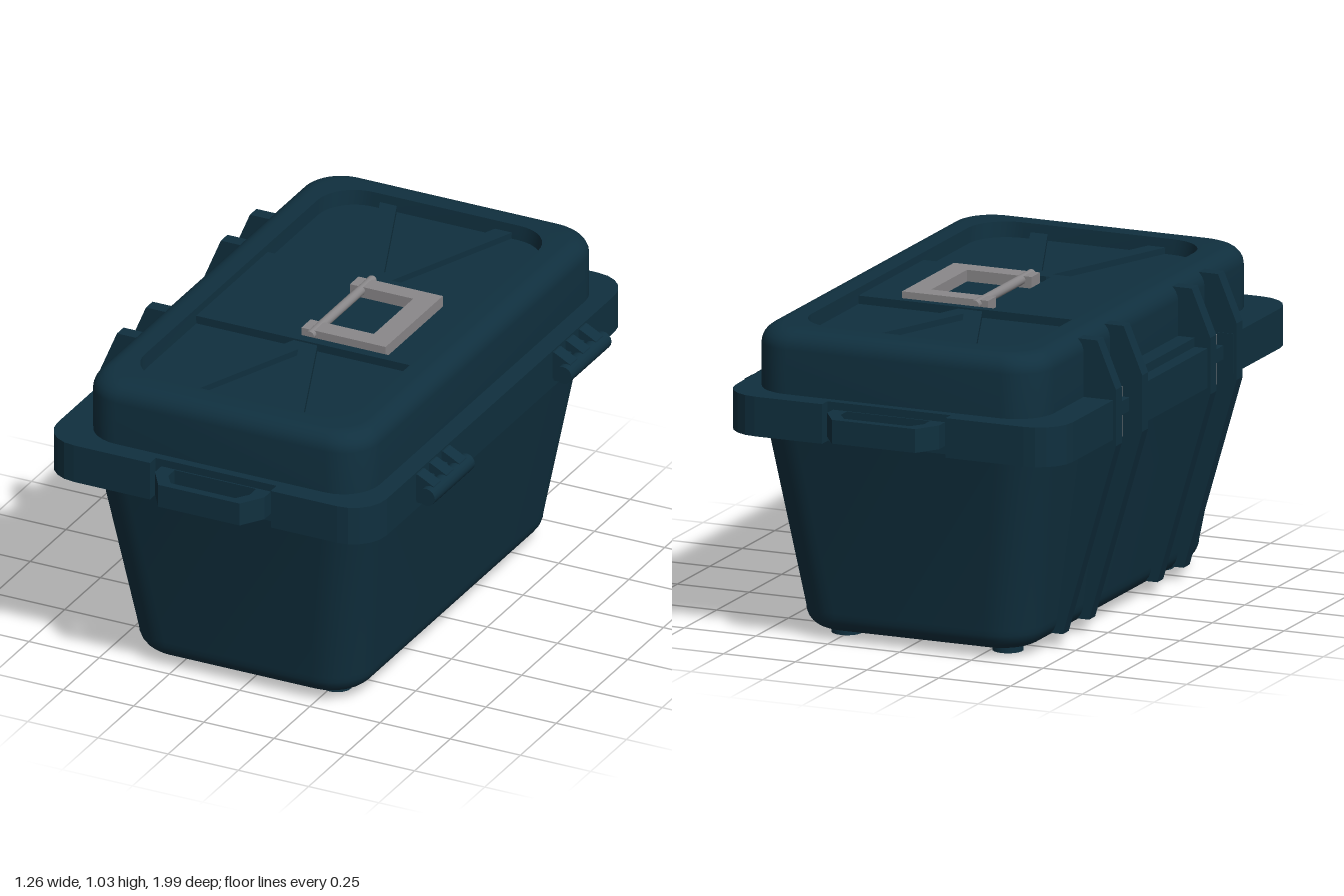
import * as THREE from 'three';
import { toCreasedNormals } from 'three/addons/utils/BufferGeometryUtils.js';

const CX = -0.02; // centre line of the box in x

export function createModel() {
  const shell = new THREE.MeshStandardMaterial({ color: 0x10303f });
  shell.name = 'dark teal plastic';
  const metal = new THREE.MeshStandardMaterial({ color: 0x8a888a });
  metal.name = 'grey metal';
  const model = new THREE.Group();
  model.name = 'toolBox';

  const add = (name, geo, mat = shell, x = 0, y = 0, z = 0) => {
    const m = new THREE.Mesh(geo, mat);
    m.name = name;
    m.position.set(x, y, z);
    model.add(m);
    return m;
  };
  // Box given by its limits on each axis
  const box = (name, x0, x1, y0, y1, z0, z1, mat = shell) =>
    add(name, new THREE.BoxGeometry(x1 - x0, y1 - y0, z1 - z0), mat,
      (x0 + x1) / 2, (y0 + y1) / 2, (z0 + z1) / 2);
  // Plan outline (x, z), extruded from y0 to y1
  const plan = (name, pts, y0, y1, mat = shell, hole) => {
    const shape = new THREE.Shape(pts.map(([x, z]) => new THREE.Vector2(x, -z)));
    if (hole) shape.holes.push(new THREE.Path(hole.map(([x, z]) => new THREE.Vector2(x, -z))));
    const geo = new THREE.ExtrudeGeometry(shape, { depth: y1 - y0, bevelEnabled: false });
    geo.rotateX(-Math.PI / 2);
    return add(name, geo, mat, 0, y0, 0);
  };
  const rect = (x0, x1, z0, z1) => [[x0, z0], [x1, z0], [x1, z1], [x0, z1]];

  // Lofts rounded rectangles; each ring is [half x, half z, corner radius, y]
  const loft = (rings) => {
    const pos = [], idx = [], seg = 8, n = 4 * (seg + 1);
    for (const [hx, hz, r, y] of rings) {
      for (let q = 0; q < 4; q++) {
        const sx = q === 0 || q === 3 ? 1 : -1, sz = q < 2 ? 1 : -1;
        for (let i = 0; i <= seg; i++) {
          const a = (q + i / seg) * Math.PI / 2;
          pos.push(CX + sx * (hx - r) + r * Math.cos(a), y, sz * (hz - r) + r * Math.sin(a));
        }
      }
    }
    for (let k = 0; k < rings.length - 1; k++) {
      for (let i = 0; i < n; i++) {
        const a = k * n + i, b = k * n + (i + 1) % n, c = a + n, d = b + n;
        idx.push(a, c, b, b, c, d);
      }
    }
    const g = new THREE.BufferGeometry();
    g.setAttribute('position', new THREE.Float32BufferAttribute(pos, 3));
    g.setIndex(idx);
    return toCreasedNormals(g, 0.6);
  };

  // Tapered tub with a rounded bottom edge
  const tub = [[0, 0, 0, 0.025]];
  for (let i = 0; i <= 6; i++) {
    const a = i / 6 * Math.PI / 2, s = 0.07 * (1 - Math.sin(a));
    tub.push([0.41 - s, 0.725 - s, 0.15 - s, 0.025 + 0.07 * (1 - Math.cos(a))]);
  }
  tub.push([0.498, 0.838, 0.15, 0.72]);
  add('tub', loft(tub));

  // Lid with a rounded shoulder and a sunken top panel
  const lid = [[0.503, 0.846, 0.13, 0.8]];
  for (let i = 0; i <= 6; i++) {
    const a = i / 6 * Math.PI / 2, s = 0.06 * (1 - Math.cos(a));
    lid.push([0.503 - s, 0.846 - s, 0.13 - s / 2, 0.975 + 0.06 * Math.sin(a)]);
  }
  lid.push([0.392, 0.735, 0.13, 1.035], [0.388, 0.731, 0.13, 0.985], [0, 0, 0, 0.985]);
  add('lid', loft(lid));

  // Collar with handle recesses and hinge notches, mirrored in z
  const half = [];
  const corner = (x, z, r, a0) => {
    for (let i = 0; i <= 5; i++) {
      const a = a0 + i / 5 * Math.PI / 2;
      half.push([x + r * Math.cos(a), z + r * Math.sin(a)]);
    }
  };
  corner(0.43, 0.797, 0.118, 0);
  half.push([0.195, 0.915], [0.195, 0.875], [-0.235, 0.875], [-0.235, 0.915]);
  corner(-0.507, 0.797, 0.118, Math.PI / 2);
  half.push([-0.625, 0.44], [-0.53, 0.44], [-0.53, 0.285], [-0.625, 0.285]);
  const mirrored = half.map(([x, z]) => [x, -z]).reverse();
  plan('collar', [...half, ...mirrored], 0.7, 0.83);
  box('rearLidBar', -0.58, -0.5, 0.83, 0.86, -0.25, 0.25);

  for (const s of [1, -1]) {
    const flip = (pts) => pts.map(([x, z]) => [x, s * z]);

    // End carry handle
    plan('carryHandle',
      flip([[-0.215, 0.86], [-0.215, 0.92], [-0.165, 0.995], [0.125, 0.995], [0.175, 0.92], [0.175, 0.86]]),
      0.727, 0.805, shell,
      flip([[-0.165, 0.88], [-0.165, 0.925], [-0.135, 0.967], [0.095, 0.967], [0.125, 0.925], [0.125, 0.88]]));

    // Rear ribs in pairs beside each hinge
    const rib = new THREE.Shape([[-0.45, 0.045], [-0.38, 0.045], [-0.48, 0.8], [-0.48, 1.02],
      [-0.57, 1.02], [-0.635, 0.865], [-0.635, 0.68]].map(([x, y]) => new THREE.Vector2(x, y)));
    for (const z of [0.262, 0.465]) {
      const geo = new THREE.ExtrudeGeometry(rib, { depth: 0.046, bevelEnabled: false });
      add('rearRib', geo.translate(0, 0, -0.023), shell, 0, 0, s * z);
    }

    // Hinge plate and knuckle
    const h = s * 0.363;
    box('hingePlate', -0.57, -0.552, 0.66, 0.825, h - 0.07, h + 0.07, metal);
    box('hingeKnuckle', -0.6, -0.52, 0.75, 0.795, h - 0.055, h + 0.055);

    // Front latch: round bar on wedge-shaped tabs
    const lz = s * 0.478;
    const bar = add('latchBar', new THREE.CylinderGeometry(0.03, 0.03, 0.28, 16), shell, 0.598, 0.765, lz);
    bar.rotation.x = Math.PI / 2;
    const tab = new THREE.Shape([[0.53, 0.73], [0.59, 0.735], [0.622, 0.765], [0.61, 0.795],
      [0.553, 0.825], [0.53, 0.825]].map(([x, y]) => new THREE.Vector2(x, y)));
    for (const dz of [-0.09, 0, 0.09]) {
      const geo = new THREE.ExtrudeGeometry(tab, { depth: 0.05, bevelEnabled: false });
      add('latchTab', geo.translate(0, 0, -0.025), shell, 0, 0, lz + dz);
    }
    box('latchPlate', 0.53, 0.57, 0.722, 0.79, lz - 0.11, lz + 0.11);

    // V-shaped stiffeners on the sunken panel
    for (const m of [1, -1]) {
      const v = flip([[0.235, 0.733], [0.175, 0.733], [0, 0.3], [0, 0.245], [0.04, 0.245]]);
      plan('lidStiffener', v.map(([x, z]) => [CX + m * x, z]), 0.98, 1.006);
    }

    // Feet
    for (const x of [-0.3, 0.26]) {
      add('foot', new THREE.CylinderGeometry(0.05, 0.05, 0.04, 20), shell, x, 0.02, s * 0.578);
    }
  }

  // Raised centre panel with the handle pocket
  plan('centrePanel', rect(-0.409, 0.369, -0.25, 0.25), 0.98, 1.012, shell,
    rect(-0.09, 0.32, -0.223, 0.218));

  // Folding lid handle and its pivot rod
  plan('lidHandle', [[-0.06, -0.2], [0.24, -0.2], [0.24, 0.2], [-0.06, 0.2], [-0.06, 0.135],
    [0.165, 0.135], [0.165, -0.14], [-0.06, -0.14]], 0.99, 1.028, metal);
  const rod = add('handlePivot', new THREE.CylinderGeometry(0.016, 0.016, 0.44, 14), metal, -0.022, 1.015, -0.002);
  rod.rotation.x = Math.PI / 2;

  return model;
}
